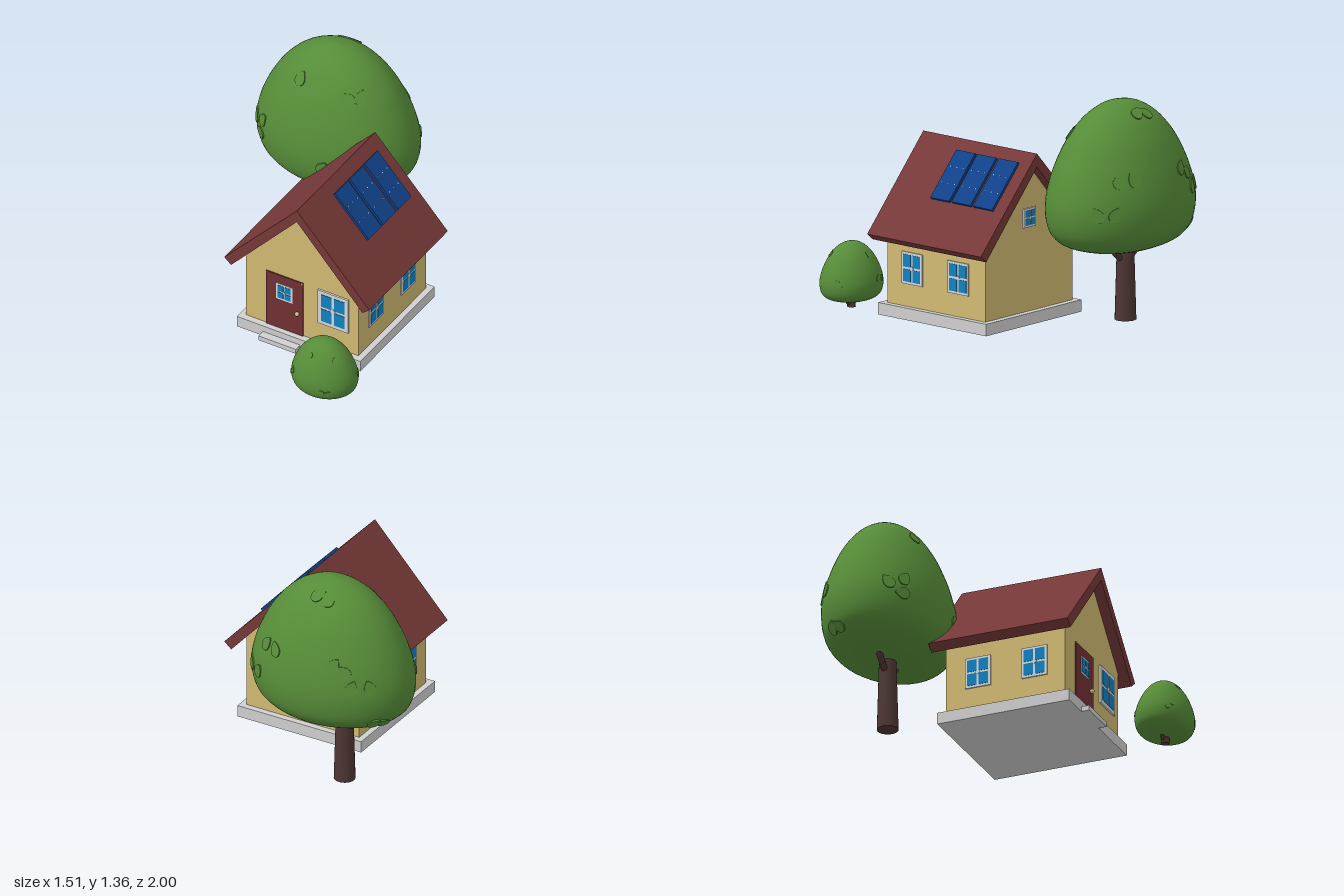
import * as THREE from 'three';

const mat = (name, color) => Object.assign(new THREE.MeshStandardMaterial({ color }), { name });

export function createModel() {
  const model = new THREE.Group();
  model.name = 'cottageWithTrees';
  const M = {
    wall: mat('wallYellow', 0xd2ba72),
    roof: mat('roofRed', 0x763838),
    door: mat('doorRed', 0x713033),
    stone: mat('stoneGrey', 0xd0d0d0),
    frame: mat('frameWhite', 0xd6d8d8),
    glass: mat('glassBlue', 0x0f82c2),
    solar: mat('solarBlue', 0x10428a),
    leaf: mat('leafGreen', 0x568c38),
    bark: mat('barkBrown', 0x4e3634),
    knob: mat('knobBrass', 0xd6c27c),
  };
  const add = (parent, name, geo, material, x = 0, y = 0, z = 0) => {
    const m = new THREE.Mesh(geo, material);
    m.name = name;
    m.position.set(x, y, z);
    parent.add(m);
    return m;
  };
  const box = (parent, name, material, w, h, d, x, y, z) =>
    add(parent, name, new THREE.BoxGeometry(w, h, d), material, x, y, z);
  const prism = (name, material, pts, z0, z1) =>
    add(house, name, new THREE.ExtrudeGeometry(
      new THREE.Shape(pts.map(p => new THREE.Vector2(...p))),
      { depth: z1 - z0, bevelEnabled: false }), material, CX, 0, z0);

  const CX = 0.192;
  const house = new THREE.Group();
  house.name = 'house';
  model.add(house);

  // Plinth, doorstep, gabled walls and folded roof
  box(house, 'plinth', M.stone, 0.855, 0.073, 0.855, CX, 0.0465, 0.118);
  box(house, 'doorstep', M.stone, 0.258, 0.032, 0.06, 0.073, 0.026, 0.566);
  prism('walls', M.wall,
    [[-0.39, 0.08], [0.39, 0.08], [0.39, 0.545], [0, 0.975], [-0.39, 0.545]], -0.27, 0.503);
  prism('roof', M.roof,
    [[-0.503, 0.51], [-0.455, 0.47], [0, 0.97], [0.455, 0.47], [0.503, 0.51], [0, 1.052]], -0.335, 0.566);

  // Window with four panes, facing +z before turning
  function windowUnit(name, w, h, border, gap, x, y, z, turn) {
    const g = new THREE.Group();
    g.name = name;
    box(g, 'windowFrame', M.frame, w, h, 0.02, 0, 0, 0);
    const pw = (w - 2 * border - gap) / 2, ph = (h - 2 * border - gap) / 2;
    for (const sx of [-1, 1]) for (const sy of [-1, 1])
      box(g, 'pane', M.glass, pw, ph, 0.004, sx * (pw + gap) / 2, sy * (ph + gap) / 2, 0.0105);
    const boss = box(g, 'crossBoss', M.frame, gap * 1.7, gap * 1.7, 0.004, 0, 0, 0.0115);
    boss.rotation.z = Math.PI / 4;
    g.position.set(x, y, z);
    g.rotation.y = turn;
    house.add(g);
  }

  // Door with its window, knob and top studs
  box(house, 'door', M.door, 0.256, 0.393, 0.016, 0.073, 0.279, 0.503);
  windowUnit('doorWindow', 0.115, 0.115, 0.012, 0.009, 0.073, 0.358, 0.505, 0);
  add(house, 'doorKnob', new THREE.SphereGeometry(0.014, 16, 12), M.knob, 0.165, 0.241, 0.52);
  for (const x of [-0.049, 0.195])
    box(house, 'doorStud', M.knob, 0.008, 0.008, 0.004, x, 0.47, 0.512);

  windowUnit('frontWindow', 0.21, 0.245, 0.024, 0.016, 0.411, 0.353, 0.505, 0);
  windowUnit('backWindow', 0.11, 0.115, 0.012, 0.009, CX, 0.655, -0.27, Math.PI);
  for (const s of [-1, 1]) for (const z of [0.306, -0.06])
    windowUnit('sideWindow', 0.164, 0.195, 0.015, 0.014, CX + s * 0.388, 0.319, z, s * Math.PI / 2);

  // Solar panels lying on the +x roof slope
  const slope = Math.atan2(0.542, 0.503);
  for (const z of [0.168, 0, -0.172]) {
    const g = new THREE.Group();
    g.name = 'solarPanel';
    box(g, 'panel', M.solar, 0.342, 0.02, 0.15, 0, 0, 0);
    for (const dx of [-0.057, 0.057]) for (const dz of [-0.05, 0, 0.05])
      box(g, 'cellJoint', M.frame, 0.006, 0.002, 0.006, dx, 0.0102, dz).rotation.y = Math.PI / 4;
    g.position.set(0.372, 0.867, z);
    g.rotation.z = -slope;
    house.add(g);
  }

  // Crown outline: radius and height as fractions
  const outline = new THREE.SplineCurve([
    [0, 0], [0.2, 0.004], [0.45, 0.022], [0.75, 0.07], [0.9, 0.13], [0.97, 0.2], [1, 0.3], [0.985, 0.4],
    [0.925, 0.52], [0.83, 0.64], [0.69, 0.77], [0.49, 0.89], [0.25, 0.97], [0, 1],
  ].map(p => new THREE.Vector2(...p))).getPoints(52);
  outline[0].x = outline[52].x = 0;
  const radiusAt = h => {
    const i = Math.max(1, outline.findIndex(p => p.y >= h));
    const a = outline[i - 1], b = outline[i];
    return a.x + (b.x - a.x) * (h - a.y) / (b.y - a.y);
  };

  // Leaf outline, one unit long
  const leafShape = new THREE.Shape();
  leafShape.moveTo(0, -0.5);
  leafShape.bezierCurveTo(0.5, -0.4, 0.5, 0.1, 0, 0.5);
  leafShape.bezierCurveTo(-0.5, 0.1, -0.5, -0.4, 0, -0.5);

  // Crown with leaves given as [height fraction, degrees from +x to +z, spin]
  function crown(name, cx, y0, cz, rx, height, rz, leafSize, leaves) {
    const g = new THREE.Group();
    g.name = name;
    add(g, 'crown', new THREE.LatheGeometry(outline, 56).scale(rx, height, rz), M.leaf);
    const leafGeo = new THREE.ExtrudeGeometry(leafShape, { depth: 0.1, bevelEnabled: false, curveSegments: 8 })
      .translate(0, 0, -0.05).scale(leafSize, leafSize, leafSize);
    const at = (h, a) => new THREE.Vector3(
      rx * radiusAt(h) * Math.cos(a), height * h, rz * radiusAt(h) * Math.sin(a));
    for (const [h, deg, spin] of leaves) {
      const a = deg * Math.PI / 180, p = at(h, a);
      const up = at(h + 0.03, a).sub(at(h - 0.03, a));
      const side = at(h, a + 0.05).sub(at(h, a - 0.05));
      const m = add(g, 'leaf', leafGeo, M.leaf, p.x, p.y, p.z);
      m.lookAt(p.clone().add(up.cross(side).normalize()));
      m.rotateZ(spin);
    }
    g.position.set(cx, y0, cz);
    model.add(g);
  }

  // Trunk with a curved branch on each side
  function trunk(name, x, z, r0, r1, h, spread, forkY, tipY, rb) {
    const g = new THREE.Group();
    g.name = name;
    add(g, 'stem', new THREE.CylinderGeometry(r1, r0, h, 20), M.bark, 0, h / 2, 0);
    for (const s of [-1, 1]) {
      const path = new THREE.QuadraticBezierCurve3(
        new THREE.Vector3(0, forkY, 0), new THREE.Vector3(s * spread * 0.75, forkY + (tipY - forkY) * 0.25, 0),
        new THREE.Vector3(s * spread, tipY, 0));
      add(g, 'branch', new THREE.TubeGeometry(path, 10, rb, 10), M.bark);
    }
    g.position.set(x, 0, z);
    model.add(g);
  }

  trunk('treeTrunk', -0.297, -0.603, 0.065, 0.049, 0.56, 0.14, 0.36, 0.5, 0.02);
  crown('treeCrown', -0.232, 0.438, -0.62, 0.523, 0.922, 0.38, 0.1, [
    [0.815, 114, 0], [0.78, 57, 0.9], [0.79, 42, -0.4],
    [0.37, 150, 0.7], [0.41, 136, -0.5], [0.3, 138, 1.6], [0.3, 78, -0.5],
    [0.34, -33, 0.5], [0.34, -47, -0.5], [0.52, -121, 0.8], [0.56, -113, -0.6],
    [0.92, -103, 0.6], [0.93, -85, -0.8], [0.42, -140, 0.3], [0.42, -126, -0.4],
    [0.13, -155, 0.7], [0.14, -146, -0.7], [0.55, -62, 0.5], [0.55, -50, -0.5],
  ]);

  trunk('bushTrunk', 0.54, 0.828, 0.026, 0.024, 0.1, 0.06, 0.015, 0.075, 0.012);
  crown('bushCrown', 0.543, 0.036, 0.825, 0.209, 0.368, 0.174, 0.045, [
    [0.42, 139, 0.5], [0.35, 146, -0.5], [0.8, 53, 0.8], [0.8, 36, -0.4],
    [0.82, 109, 1.2], [0.28, 71, 1.0], [0.26, 59, -0.8], [0.4, -20, 0.4],
    [0.35, -35, -0.5], [0.8, -100, 0.5], [0.4, -120, 0.3], [0.42, -105, -0.6],
  ]);

  return model;
}
